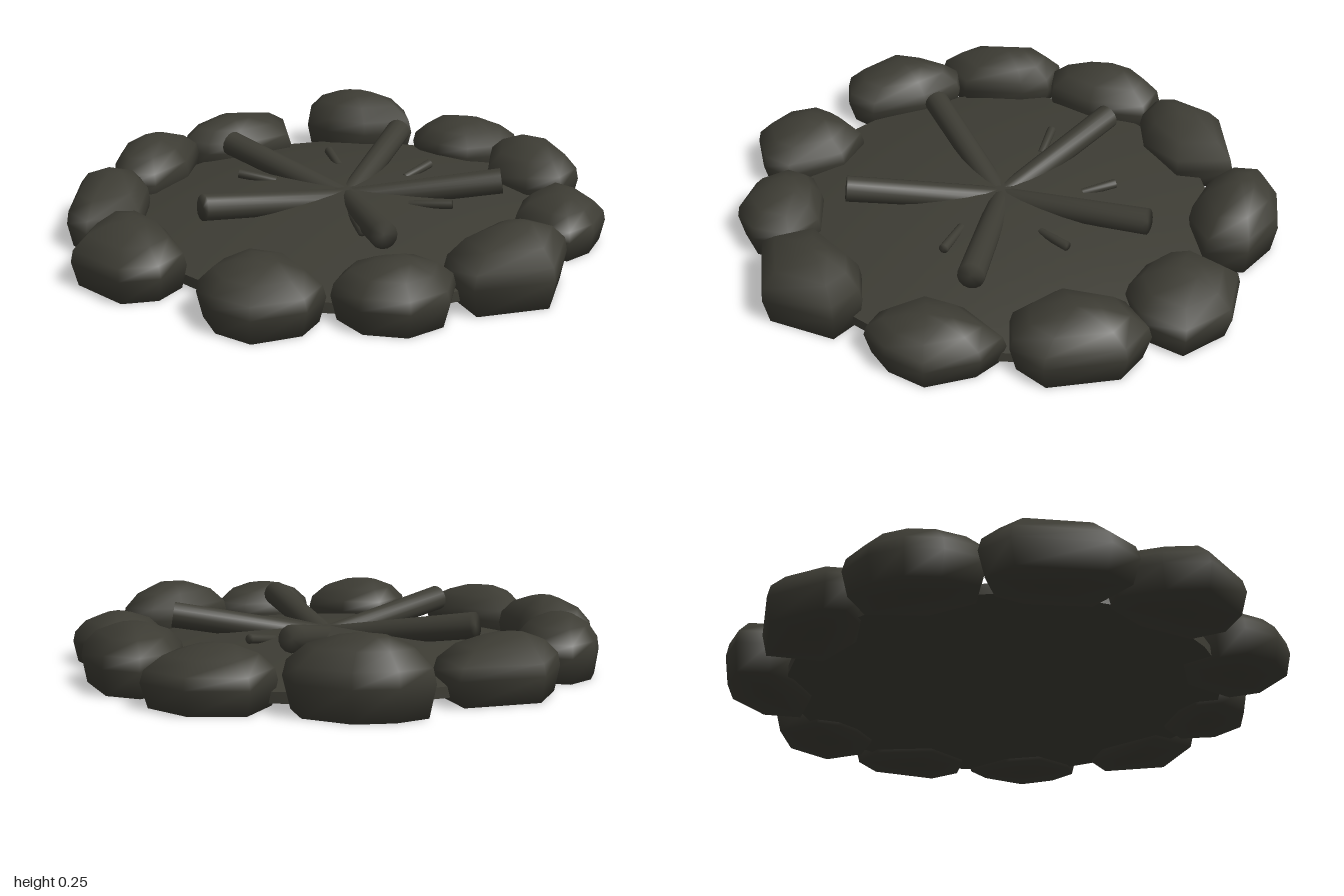
import * as THREE from 'three';
import { mergeVertices, toCreasedNormals } from 'three/addons/utils/BufferGeometryUtils.js';

const MOUND_R = 0.78;
const moundY = (r) => 0.055 + 0.085 * (1 - (r / MOUND_R) ** 2);

// Welds the corners and shades the whole form smoothly
function smooth(geometry) {
  geometry.deleteAttribute('normal');
  geometry.deleteAttribute('uv');
  const welded = mergeVertices(geometry, 1e-5);
  welded.computeVertexNormals();
  return welded;
}

// Boulder: scaled copies of a ground outline (x, z pairs, clockwise from above) closed at both ends
const RINGS = [[0, 0], [0.9, 0], [1, 0.42], [0.95, 0.62], [0.7, 0.84], [0.32, 0.97], [0, 1]];

function boulder(height, outline) {
  const n = outline.length / 2;
  let cx = 0, cz = 0;
  for (let i = 0; i < n; i++) {
    cx += outline[2 * i] / n;
    cz += outline[2 * i + 1] / n;
  }
  const pos = [], index = [];
  RINGS.forEach(([s, t], k) => {
    for (let i = 0; i < n; i++) {
      const x = outline[2 * i], z = outline[2 * i + 1];
      pos.push(cx + (x - cx) * s, 0.005 + t * (height - 0.005), cz + (z - cz) * s);
      if (k === 0) continue;
      const j = (i + 1) % n, a = (k - 1) * n, b = k * n;
      if (k > 1) index.push(a + i, b + i, a + j);
      if (k < RINGS.length - 1) index.push(a + j, b + i, b + j);
    }
  });
  const g = new THREE.BufferGeometry();
  g.setAttribute('position', new THREE.Float32BufferAttribute(pos, 3));
  g.setIndex(index);
  return smooth(g);
}

export function createModel() {
  const model = new THREE.Group();
  model.name = 'campfire';
  const char = new THREE.MeshStandardMaterial({ color: 0x3d3c34 });
  char.name = 'charred stone and wood';

  const add = (geometry, name, parent = model) => {
    const mesh = new THREE.Mesh(geometry, char);
    mesh.name = name;
    parent.add(mesh);
    return mesh;
  };

  // Ring of stones
  const stones = new THREE.Group();
  stones.name = 'stoneRing';
  model.add(stones);
  const stone = (height, outline) => add(boulder(height, outline), 'stone', stones);

  stone(0.22, [-0.4, -0.76, -0.32, -0.88, -0.22, -0.95, -0.1, -0.97, 0.03, -0.93, 0.06, -0.79, -0.13, -0.67, -0.32, -0.66]);
  stone(0.21, [0.05, -0.86, 0.11, -0.91, 0.33, -0.93, 0.53, -0.72, 0.38, -0.57, 0.17, -0.64, 0.07, -0.75]);
  stone(0.255, [0.67, -0.7, 0.78, -0.63, 0.86, -0.51, 0.86, -0.32, 0.75, -0.22, 0.59, -0.35, 0.55, -0.51, 0.57, -0.63]);
  stone(0.2, [0.72, -0.19, 0.91, -0.2, 1, -0.02, 0.95, 0.17, 0.78, 0.2, 0.66, 0.11, 0.64, -0.02, 0.66, -0.12]);
  stone(0.22, [0.72, 0.18, 0.86, 0.23, 0.87, 0.37, 0.7, 0.58, 0.56, 0.58, 0.47, 0.48, 0.51, 0.29]);
  stone(0.185, [0.33, 0.54, 0.53, 0.56, 0.52, 0.67, 0.42, 0.83, 0.27, 0.86, 0.15, 0.83, 0.13, 0.75, 0.19, 0.59]);
  stone(0.24, [-0.32, 0.62, -0.05, 0.65, 0.05, 0.74, 0.05, 0.87, -0.2, 0.96, -0.41, 0.79]);
  stone(0.205, [-0.57, 0.4, -0.48, 0.44, -0.36, 0.56, -0.37, 0.7, -0.5, 0.76, -0.64, 0.71, -0.71, 0.57, -0.67, 0.43]);
  stone(0.21, [-0.8, 0.06, -0.65, 0.08, -0.6, 0.23, -0.69, 0.43, -0.81, 0.45, -0.96, 0.35, -0.97, 0.2, -0.9, 0.08]);
  stone(0.21, [-0.69, -0.51, -0.63, -0.44, -0.66, -0.27, -0.77, -0.08, -0.9, -0.07, -1, -0.16, -0.98, -0.4, -0.85, -0.47]);
  stone(0.22, [-0.53, -0.84, -0.4, -0.82, -0.36, -0.69, -0.42, -0.59, -0.61, -0.45, -0.8, -0.52, -0.77, -0.65]);

  // Ash mound: shallow dome with a low rim and a flat underside
  const profile = [new THREE.Vector2(0, 0.018), new THREE.Vector2(MOUND_R, 0.018)];
  for (let i = 8; i >= 0; i--) {
    const r = (MOUND_R * i) / 8;
    profile.push(new THREE.Vector2(r, moundY(r)));
  }
  add(toCreasedNormals(new THREE.LatheGeometry(profile, 32), 0.7), 'ashMound');

  // Round timber between two points
  const timber = (name, a, b, r0, r1) => {
    const dir = b.clone().sub(a);
    const mesh = add(smooth(new THREE.CylinderGeometry(r1, r0, dir.length(), 14)), name);
    mesh.position.copy(a).addScaledVector(dir, 0.5);
    mesh.quaternion.setFromUnitVectors(new THREE.Vector3(0, 1, 0), dir.normalize());
  };

  // Logs rising outward from the middle of the ash
  for (const [x, z] of [[0.03, -0.585], [0.55, -0.15], [0.295, 0.475], [-0.37, 0.42], [-0.54, -0.215]]) {
    timber('log', new THREE.Vector3(0, 0.095, 0), new THREE.Vector3(x, 0.186, z), 0.042, 0.047);
  }

  // Twigs poking out of the ash
  for (const [x0, z0, x1, z1] of [
    [-0.055, -0.29, -0.115, -0.42], [0.22, -0.2, 0.29, -0.305], [0.26, 0.08, 0.395, 0.1],
    [0.035, 0.25, 0.09, 0.395], [-0.17, 0.145, -0.3, 0.285],
  ]) {
    const a = new THREE.Vector3(x0, moundY(Math.hypot(x0, z0)) - 0.008, z0);
    const b = new THREE.Vector3(x1, moundY(Math.hypot(x1, z1)) + 0.025, z1);
    timber('twig', a, b, 0.015, 0.017);
  }
  return model;
}
